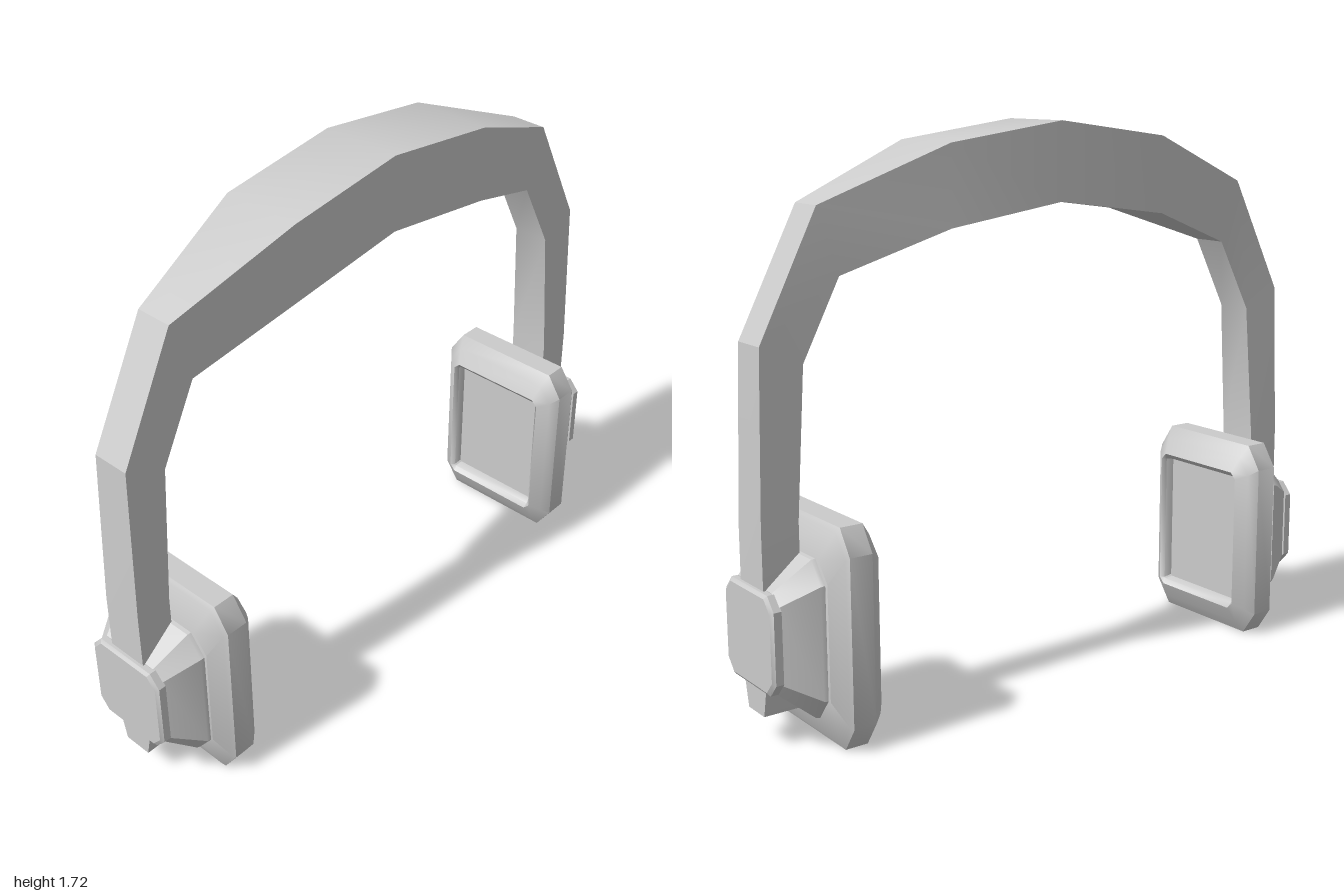
import * as THREE from 'three';
import { toCreasedNormals } from 'three/addons/utils/BufferGeometryUtils.js';

const material = new THREE.MeshStandardMaterial({ color: 0xcccccc });

// Skin a series of cross-sections (arrays of [x, y, z]) and cap both ends
function loft(name, rings, crease) {
  const n = rings[0].length, index = [];
  for (let i = 0; i < rings.length - 1; i++) {
    for (let j = 0; j < n; j++) {
      const a = i * n + j, b = i * n + (j + 1) % n;
      index.push(a, b, b + n, a, b + n, a + n);
    }
  }
  const last = (rings.length - 1) * n;
  for (let j = 1; j < n - 1; j++) {
    index.push(0, j + 1, j);
    index.push(last, last + j, last + j + 1);
  }
  const geo = new THREE.BufferGeometry();
  geo.setAttribute('position', new THREE.Float32BufferAttribute(rings.flat(2), 3));
  geo.setIndex(index);
  const mesh = new THREE.Mesh(toCreasedNormals(geo, crease), material);
  mesh.name = name;
  return mesh;
}

// Chamfered rectangle at x: half height, half depth, chamfer in y and z
function octagon([x, hy, hz, cy, cz], yc) {
  return [
    [-hz, -hy + cy], [-hz, hy - cy], [-hz + cz, hy], [hz - cz, hy],
    [hz, hy - cy], [hz, -hy + cy], [hz - cz, -hy], [-hz + cz, -hy],
  ].map(([z, y]) => [x, yc + y, z]);
}

// Octagon loft along x, mirrored for the right side
function shell(name, side, yc, stations, crease) {
  const rings = stations.map((s) => {
    const ring = octagon(s, yc);
    return side > 0 ? ring : ring.map(([x, y, z]) => [-x, y, z]).reverse();
  });
  return loft(name, rings, crease);
}

function earpiece(side) {
  const g = new THREE.Group();
  g.name = side > 0 ? 'leftEarpiece' : 'rightEarpiece';
  // Padded cushion with a recessed inner panel
  g.add(shell('earCushion', side, 0.328, [
    [0.725, 0.215, 0.165, 0.005, 0.005],
    [0.697, 0.22, 0.168, 0.005, 0.005],
    [0.685, 0.235, 0.18, 0.02, 0.02],
    [0.71, 0.285, 0.215, 0.055, 0.04],
    [0.737, 0.323, 0.237, 0.075, 0.05],
    [0.808, 0.323, 0.237, 0.075, 0.05],
    [0.817, 0.31, 0.226, 0.07, 0.048],
    [0.853, 0.23, 0.19, 0.06, 0.048],
  ], 0.72));
  // Thin seam between cushion and housing
  g.add(shell('seam', side, 0.33, [
    [0.84, 0.218, 0.178, 0.06, 0.05],
    [0.87, 0.218, 0.178, 0.06, 0.05],
  ], 0.5));
  // Tapered housing
  g.add(shell('housing', side, 0.33, [
    [0.86, 0.232, 0.19, 0.065, 0.05],
    [0.872, 0.23, 0.188, 0.065, 0.05],
    [0.975, 0.145, 0.13, 0.035, 0.03],
  ], 0.5));
  // Outer cap
  g.add(shell('outerCap', side, 0.328, [
    [0.968, 0.145, 0.141, 0.04, 0.035],
    [0.992, 0.145, 0.141, 0.04, 0.035],
    [1.0, 0.135, 0.131, 0.037, 0.032],
  ], 0.5));
  return g;
}

export function createModel() {
  const model = new THREE.Group();
  model.name = 'headphones';

  // Headband: outer x, y, inner x, y, half width, from the crown to the lower tip
  const half = [
    [0, 1.72, 0, 1.485, 0.128],
    [0.39, 1.667, 0.39, 1.43, 0.128],
    [0.78, 1.51, 0.715, 1.315, 0.058],
    [0.965, 1.145, 0.835, 1.085, 0.06],
    [0.983, 0.65, 0.868, 0.65, 0.067],
    [0.984, 0.2, 0.868, 0.2, 0.067],
    [0.984, 0.1, 0.868, 0.1, 0.046],
  ];
  const mirrored = half.slice(1).reverse().map(([ox, oy, ix, iy, w]) => [-ox, oy, -ix, iy, w]);
  const rings = [...mirrored, ...half].map(([ox, oy, ix, iy, w]) => [
    [ix, iy, -w], [ox, oy, -w], [ox, oy, w], [ix, iy, w],
  ]);
  model.add(loft('headband', rings, 0.42));

  for (const side of [1, -1]) model.add(earpiece(side));
  return model;
}
